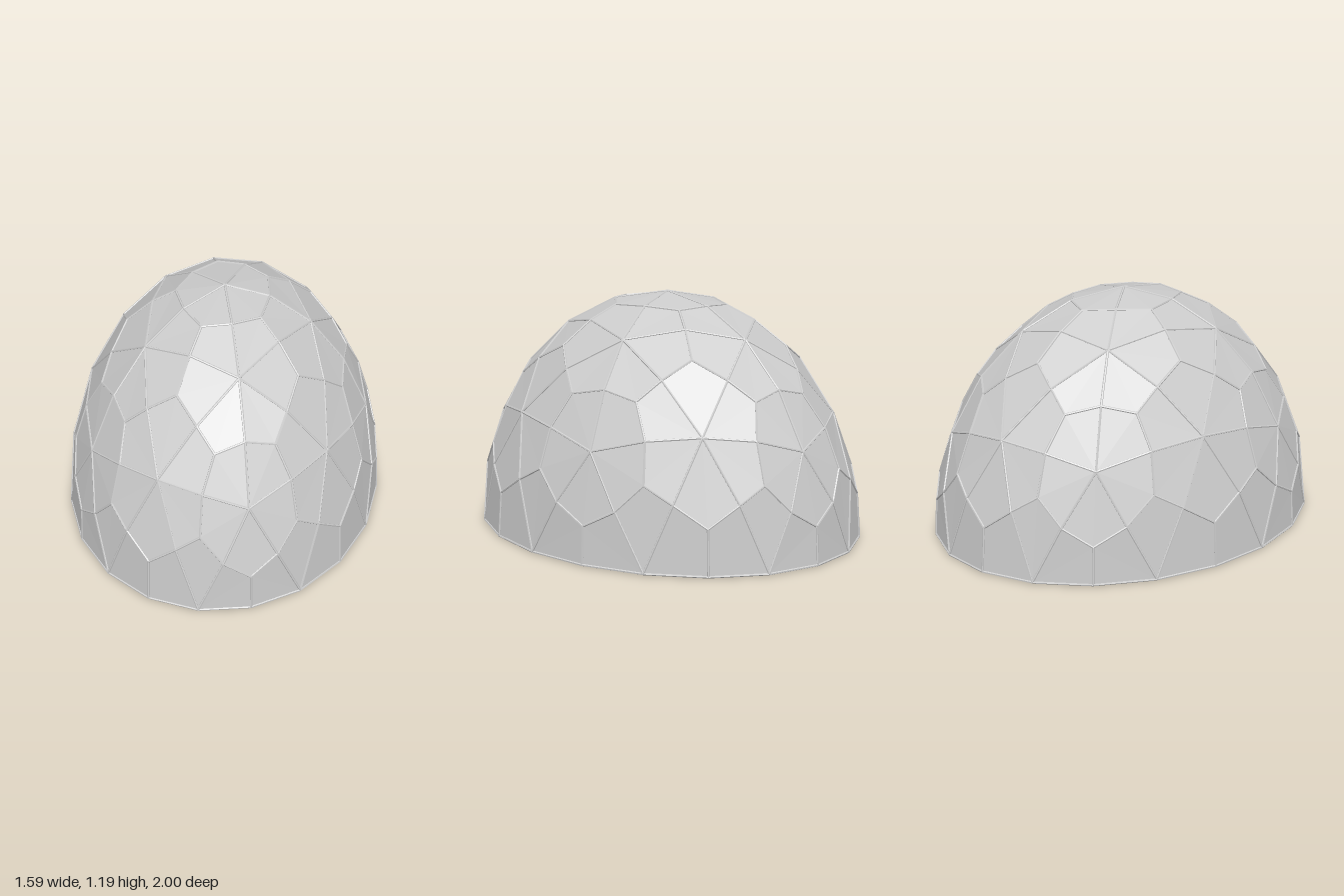
import * as THREE from 'three';
import { mergeGeometries } from 'three/addons/utils/BufferGeometryUtils.js';

const RADII = new THREE.Vector3(0.79, 1.175, 0.996);
const STRUT = 0.006;

// Thin bar between two points
function bar(a, b) {
  const dir = b.clone().sub(a);
  const g = new THREE.CylinderGeometry(STRUT, STRUT, dir.length(), 6);
  g.applyQuaternion(new THREE.Quaternion().setFromUnitVectors(new THREE.Vector3(0, 1, 0), dir.normalize()));
  return g.translate(...a.clone().add(b).multiplyScalar(0.5).toArray());
}

export function createModel() {
  const group = new THREE.Group();
  group.name = 'geodesicDome';

  // Two-frequency icosphere with a corner at the top, so its equator is a decagon
  const sphere = new THREE.IcosahedronGeometry(1, 1);
  sphere.rotateZ(-Math.atan(2 / (1 + Math.sqrt(5))));
  const pos = sphere.attributes.position;

  const toDome = (...pts) => pts
    .reduce((sum, p) => sum.add(p), new THREE.Vector3())
    .normalize().multiply(RADII);

  const panels = [];
  const struts = new Map();
  const key = (p) => p.toArray().map((v) => Math.round(v * 1000) + 0).join();
  const addStrut = (a, b) => {
    const id = [key(a), key(b)].sort().join('|');
    if (!struts.has(id)) struts.set(id, bar(a, b));
  };

  for (let i = 0; i < pos.count; i += 3) {
    const c = [0, 1, 2].map((k) => new THREE.Vector3().fromBufferAttribute(pos, i + k));
    if (c[0].y + c[1].y + c[2].y < 0.01) continue; // upper half only

    // Each triangle becomes three kites meeting at its raised centre
    const centre = toDome(...c);
    const corner = c.map((p) => toDome(p));
    const mid = c.map((p, k) => toDome(p, c[(k + 1) % 3]));
    for (let k = 0; k < 3; k++) {
      const before = mid[(k + 2) % 3];
      panels.push(corner[k], mid[k], centre, corner[k], centre, before);
      addStrut(corner[k], mid[k]);
      addStrut(corner[k], before);
      addStrut(centre, mid[k]);
    }
  }

  // Faceted shell, open underneath
  const shell = new THREE.BufferGeometry().setFromPoints(panels);
  shell.computeVertexNormals();
  const panelMesh = new THREE.Mesh(shell, new THREE.MeshStandardMaterial({
    color: 0xcccccc, flatShading: true, side: THREE.DoubleSide,
  }));
  panelMesh.name = 'panels';

  // Frame bars along every kite edge
  const frame = new THREE.Mesh(
    mergeGeometries([...struts.values()]),
    new THREE.MeshStandardMaterial({ color: 0xcccccc, flatShading: true }),
  );
  frame.name = 'frameBars';

  group.add(panelMesh, frame);
  group.position.y = STRUT;
  return group;
}
